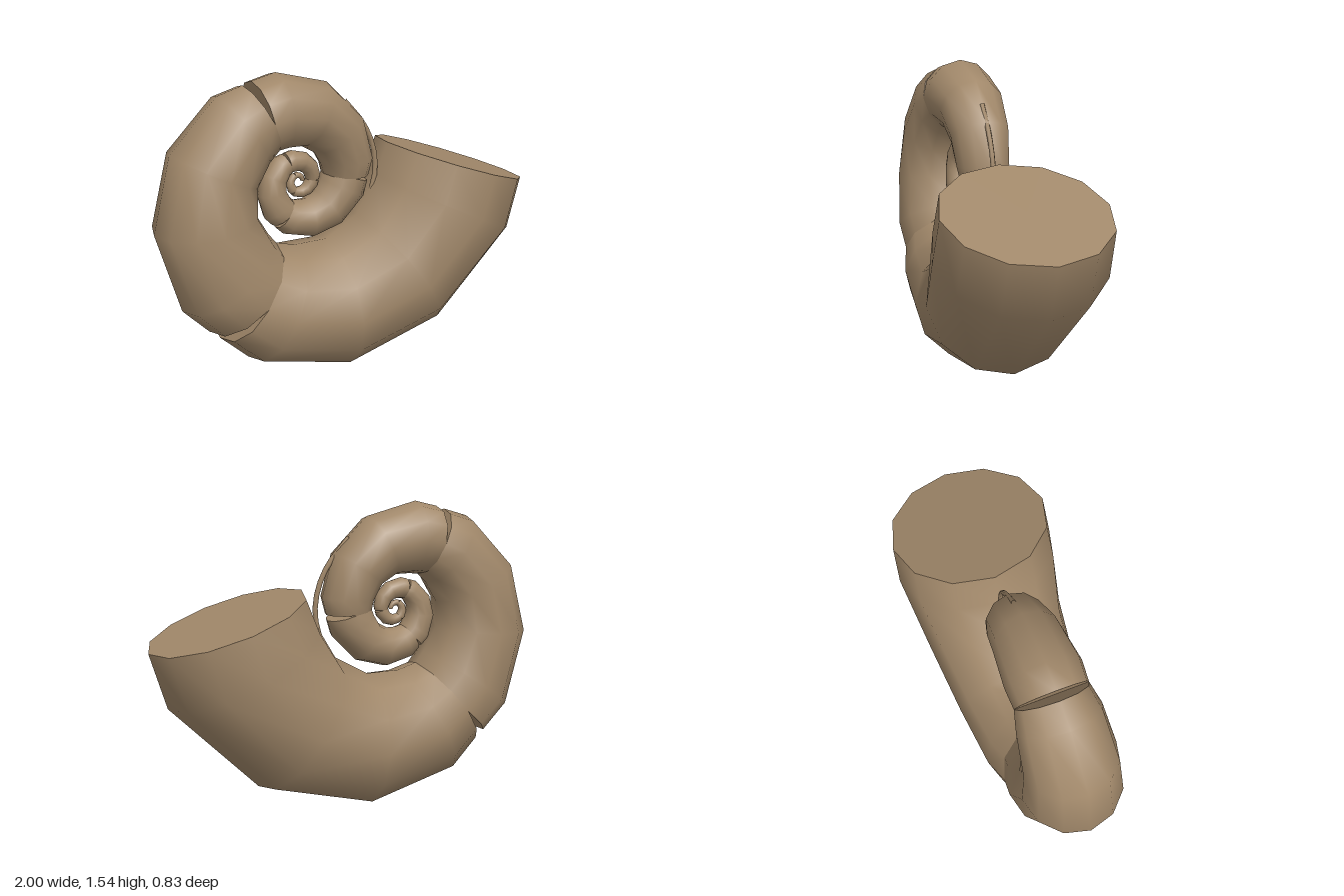
import * as THREE from 'three';

const SIDES = 12;
const CENTRE = new THREE.Vector2(-0.266, 1.0); // eye of the spiral
const START = 0.886;      // distance of the mouth from the eye
const TUBE = 0.4;         // tube radius at the mouth
const SCALE = 0.664;      // shrink per chamber
const TURN = 120;         // degrees per chamber
const CHAMBERS = 9;
const STATIONS = [0, 15, 45, 75, 105, 120]; // ring angles in a chamber

const shrink = deg => Math.pow(SCALE, deg / TURN);

// Point on the logarithmic spiral, turning clockwise seen from the front
function spiral(deg, radius = START) {
  const a = THREE.MathUtils.degToRad(-deg);
  const d = radius * shrink(deg);
  return new THREE.Vector2(CENTRE.x + d * Math.cos(a), CENTRE.y + d * Math.sin(a));
}

// One closed chamber: swollen rings swept along the spiral, with flat end caps
function chamberGeometry(first) {
  const positions = [], indices = [], rings = [];
  const last = STATIONS.length - 1;
  STATIONS.forEach((station, i) => {
    const deg = first + station;
    const c = spiral(deg);
    const from = i === 0 ? c : spiral(i === last ? first + STATIONS[i - 1] : deg - 0.5);
    const to = i === last ? c : spiral(i === 0 ? first + STATIONS[1] : deg + 0.5);
    const t = to.clone().sub(from).normalize();
    const n = new THREE.Vector2(-t.y, t.x); // points away from the eye
    const r = TUBE * shrink(deg) * (i === 0 || i === last ? 1 : 1.09);
    const ring = [];
    for (let j = 0; j < SIDES; j++) {
      const p = (j / SIDES) * Math.PI * 2;
      ring.push([c.x + n.x * r * Math.cos(p), c.y + n.y * r * Math.cos(p), r * Math.sin(p)]);
    }
    rings.push({ c, ring });
    positions.push(...ring.flat());
  });

  // Side walls share vertices for smooth shading
  for (let i = 0; i < last; i++) {
    for (let j = 0; j < SIDES; j++) {
      const k = (j + 1) % SIDES;
      const a = i * SIDES + j, b = i * SIDES + k;
      indices.push(a, b, a + SIDES, b, b + SIDES, a + SIDES);
    }
  }

  // Caps have their own vertices so their rims stay sharp
  for (const [{ c, ring }, isStart] of [[rings[0], true], [rings[last], false]]) {
    const base = positions.length / 3;
    positions.push(c.x, c.y, 0, ...ring.flat());
    for (let j = 0; j < SIDES; j++) {
      const a = base + 1 + j, b = base + 1 + ((j + 1) % SIDES);
      indices.push(base, isStart ? b : a, isStart ? a : b);
    }
  }

  const geometry = new THREE.BufferGeometry();
  geometry.setAttribute('position', new THREE.Float32BufferAttribute(positions, 3));
  geometry.setIndex(indices);
  geometry.computeVertexNormals();
  return geometry;
}

export function createModel() {
  const group = new THREE.Group();
  group.name = 'spiralShell';
  const shell = new THREE.MeshStandardMaterial({ color: 0xa1886a });
  shell.name = 'shell tan';

  // Chambers, from the wide mouth in to the eye
  for (let i = 0; i < CHAMBERS; i++) {
    const mesh = new THREE.Mesh(chamberGeometry(i * TURN), shell);
    mesh.name = `chamber${i + 1}`;
    group.add(mesh);
  }

  // Thin curved rib between the mouth and the inner whorl
  const path = new THREE.CatmullRomCurve3(
    [[-0.01, 1.37], [0.1, 1.24], [0.155, 1.12], [0.17, 1.0], [0.15, 0.9], [0.1, 0.78]]
      .map(([x, y]) => new THREE.Vector3(x, y, 0)));
  const rib = new THREE.Mesh(new THREE.TubeGeometry(path, 10, 0.013, 6), shell);
  rib.name = 'rib';
  group.add(rib);

  return group;
}
